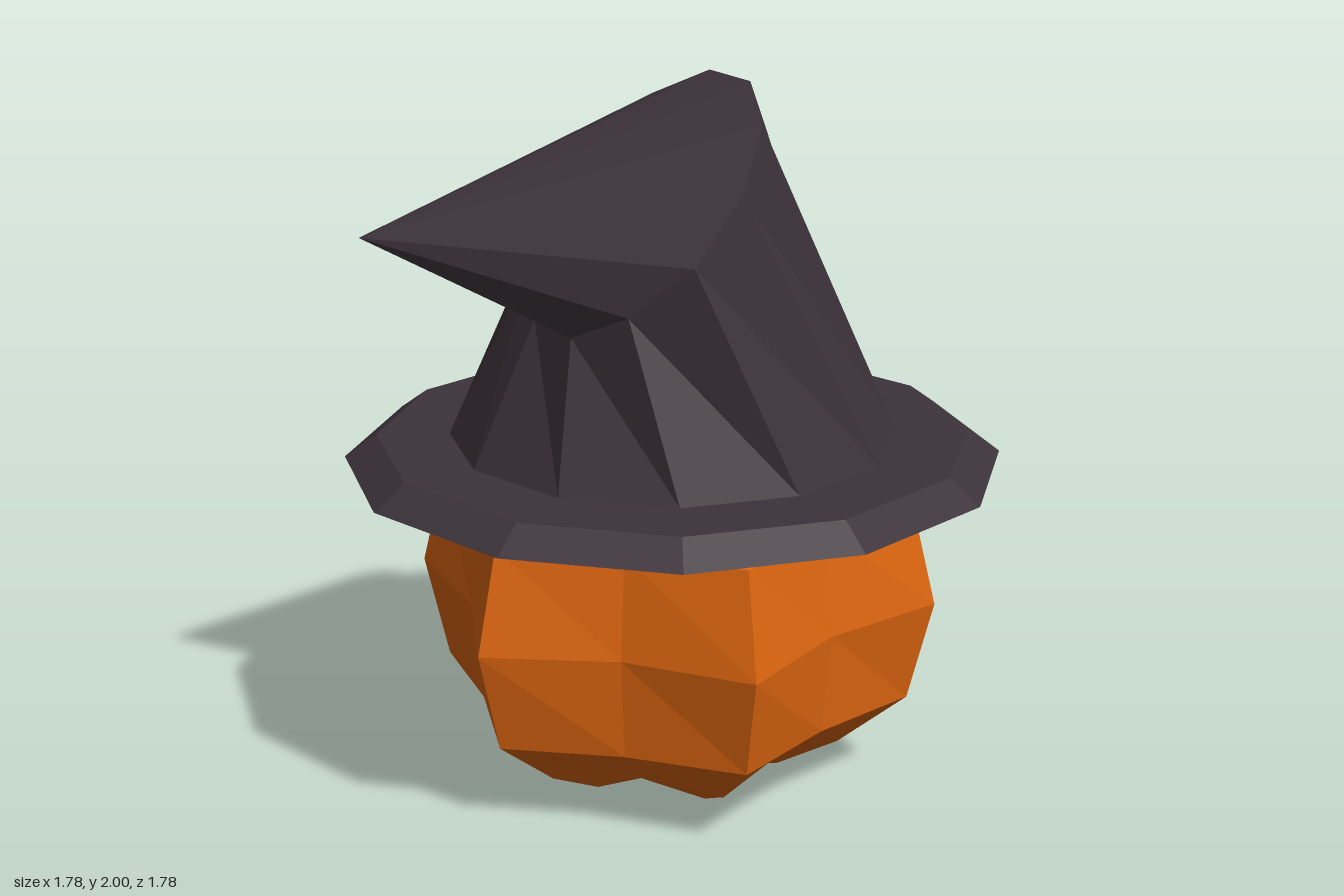
import * as THREE from 'three';

const orange = new THREE.MeshStandardMaterial({ color: 0xde6610 });
orange.name = 'pumpkin orange';
const flesh = new THREE.MeshStandardMaterial({ color: 0xc96d20, side: THREE.DoubleSide });
flesh.name = 'carved flesh';
const green = new THREE.MeshStandardMaterial({ color: 0x10e028 });
green.name = 'glowing green';
const cloth = new THREE.MeshStandardMaterial({ color: 0x3d333b });
cloth.name = 'hat cloth';

const lerp = THREE.MathUtils.lerp;

// Facets: a list of quads, each with four corners, becomes a flat shaded mesh
function facetMesh(name, quads, material) {
  const points = quads.flatMap(([a, b, c, d]) => [a, b, c, a, c, d]);
  const geometry = new THREE.BufferGeometry().setFromPoints(points);
  geometry.computeVertexNormals();
  const mesh = new THREE.Mesh(geometry, material);
  mesh.name = name;
  return mesh;
}

// Quads between closed rings, listed from bottom to top
function loft(rings, skip = () => false) {
  const quads = [];
  for (let j = 0; j < rings.length - 1; j++) {
    const lo = rings[j], hi = rings[j + 1], n = lo.length;
    for (let k = 0; k < n; k++) {
      if (!skip(j, k)) quads.push([lo[k], hi[k], hi[(k + 1) % n], lo[(k + 1) % n]]);
    }
  }
  return quads;
}

// Point at a heading measured from the back (-z) towards +x
function polar(degrees, r, y) {
  const a = THREE.MathUtils.degToRad(degrees);
  return new THREE.Vector3(r * Math.sin(a), y, -r * Math.cos(a));
}
const ring12 = (r, y) => Array.from({ length: 12 }, (_, k) => polar(k * 30 - 15, r, y));

// Pumpkin rows: ridge height, ridge radius, valley height, valley radius
const rows = [
  [0.08, 0, 0.08, 0],
  [0, 0.31, 0.04, 0.24],
  [0.09, 0.485, 0.1, 0.38],
  [0.25, 0.68, 0.25, 0.56],
  [0.54, 0.75, 0.54, 0.59],
  [0.83, 0.68, 0.83, 0.55],
  [0.96, 0.546, 0.96, 0.44],
];

// Carved side: u is 0 at the middle ridge, 1 in the valley, 2 at the outer ridge
function skin(u, y, side, scale = 1) {
  const j = y < 0.54 ? 3 : 4;
  const t = (y - rows[j][0]) / (rows[j + 1][0] - rows[j][0]);
  const ridge = lerp(rows[j][1], rows[j + 1][1], t);
  const valley = lerp(rows[j][3], rows[j + 1][3], t);
  const p = u <= 1
    ? polar(0, ridge, y).lerp(polar(30, valley, y), u)
    : polar(30, valley, y).lerp(polar(60, ridge, y), u - 1);
  p.x *= side * scale;
  p.z *= scale;
  return p;
}

// Lower and upper edges of the cuts at each column
const columns = [0, 0.18, 1, 1.75, 1.92, 2];
const mouth = {
  name: 'mouth', first: 0, last: 3, level: 1,
  lo: [0.295, 0.3, 0.32, 0.44, 0.47, 0.48],
  hi: [0.48, 0.48, 0.48, 0.52, 0.525, 0.53],
};
const eye = {
  name: 'eye', first: 1, last: 4, level: 4,
  lo: [0.62, 0.63, 0.58, 0.66, 0.7, 0.7],
  hi: [0.68, 0.7, 0.73, 0.77, 0.78, 0.79],
};
const INSET = 0.87;

function carvedSide(side) {
  const group = new THREE.Group();
  group.name = side > 0 ? 'leftCarvedSide' : 'rightCarvedSide';
  const cell = (i, loA, hiA, loB, hiB, scale) => {
    const q = [
      skin(columns[i], loA, side, scale), skin(columns[i], hiA, side, scale),
      skin(columns[i + 1], hiB, side, scale), skin(columns[i + 1], loB, side, scale),
    ];
    return side > 0 ? q : q.reverse();
  };

  // Rind around the openings
  const rind = [];
  const stack = (i) => [0.25, mouth.lo[i], mouth.hi[i], 0.54, eye.lo[i], eye.hi[i], 0.83];
  for (let i = 0; i < columns.length - 1; i++) {
    const a = stack(i), b = stack(i + 1);
    for (let j = 0; j < a.length - 1; j++) {
      const open = [mouth, eye].some((c) => c.level === j && i >= c.first && i < c.last);
      if (!open) rind.push(cell(i, a[j], a[j + 1], b[j], b[j + 1], 1));
    }
  }
  group.add(facetMesh('carvedRind', rind, orange));

  // Cut walls and the glow behind each opening
  for (const cut of [mouth, eye]) {
    const walls = [], glow = [];
    for (let i = cut.first; i < cut.last; i++) {
      glow.push(cell(i, cut.lo[i], cut.hi[i], cut.lo[i + 1], cut.hi[i + 1], INSET));
      for (const edge of [cut.lo, cut.hi]) {
        const u = columns[i], v = columns[i + 1];
        walls.push([
          skin(u, edge[i], side), skin(v, edge[i + 1], side),
          skin(v, edge[i + 1], side, INSET), skin(u, edge[i], side, INSET),
        ]);
      }
    }
    for (const i of [cut.first, cut.last]) {
      const u = columns[i];
      if (u > 0) walls.push([
        skin(u, cut.lo[i], side), skin(u, cut.hi[i], side),
        skin(u, cut.hi[i], side, INSET), skin(u, cut.lo[i], side, INSET),
      ]);
    }
    group.add(facetMesh(cut.name + 'Walls', walls, flesh));
    group.add(facetMesh(cut.name + 'Glow', glow, green));
  }
  return group;
}

function createPumpkin() {
  const group = new THREE.Group();
  group.name = 'pumpkin';
  const rings = rows.map(([ry, rr, vy, vr]) => Array.from({ length: 12 }, (_, k) =>
    k % 2 ? polar(k * 30, vr, vy) : polar(k * 30, rr, ry)));
  const isFace = (j, k) => (j === 3 || j === 4) && (k < 2 || k > 9);
  group.add(facetMesh('pumpkinBody', loft(rings, isFace), orange));
  group.add(carvedSide(1), carvedSide(-1));
  return group;
}

function createHat() {
  const group = new THREE.Group();
  group.name = 'hat';
  const brim = [ring12(0, 0.925), ring12(0.92, 0.925), ring12(0.83, 0.99), ring12(0.6, 0.99)];
  group.add(facetMesh('hatBrim', loft(brim), cloth));

  // Tilted fold ring: the second half mirrors the first through its centre
  const half = [
    [0.04, 2, -0.1], [0.24, 2, -0.04], [0.39, 1.92, 0.08],
    [0.45, 1.77, 0.22], [0.42, 1.6, 0.365], [0.27, 1.46, 0.45],
  ].map((p) => new THREE.Vector3(...p));
  const centre = new THREE.Vector3(0.065, 1.69, 0.19);
  const fold = [...half, ...half.map((p) => centre.clone().multiplyScalar(2).sub(p))];
  const tip = Array(12).fill(new THREE.Vector3(-0.45, 1.6, 0.73));
  group.add(facetMesh('hatCrown', loft([ring12(0.625, 0.99), fold]), cloth));
  group.add(facetMesh('hatTip', loft([fold, tip]), cloth));
  return group;
}

export function createModel() {
  const model = new THREE.Group();
  model.name = 'pumpkinWithHat';
  model.add(createPumpkin(), createHat());
  return model;
}
